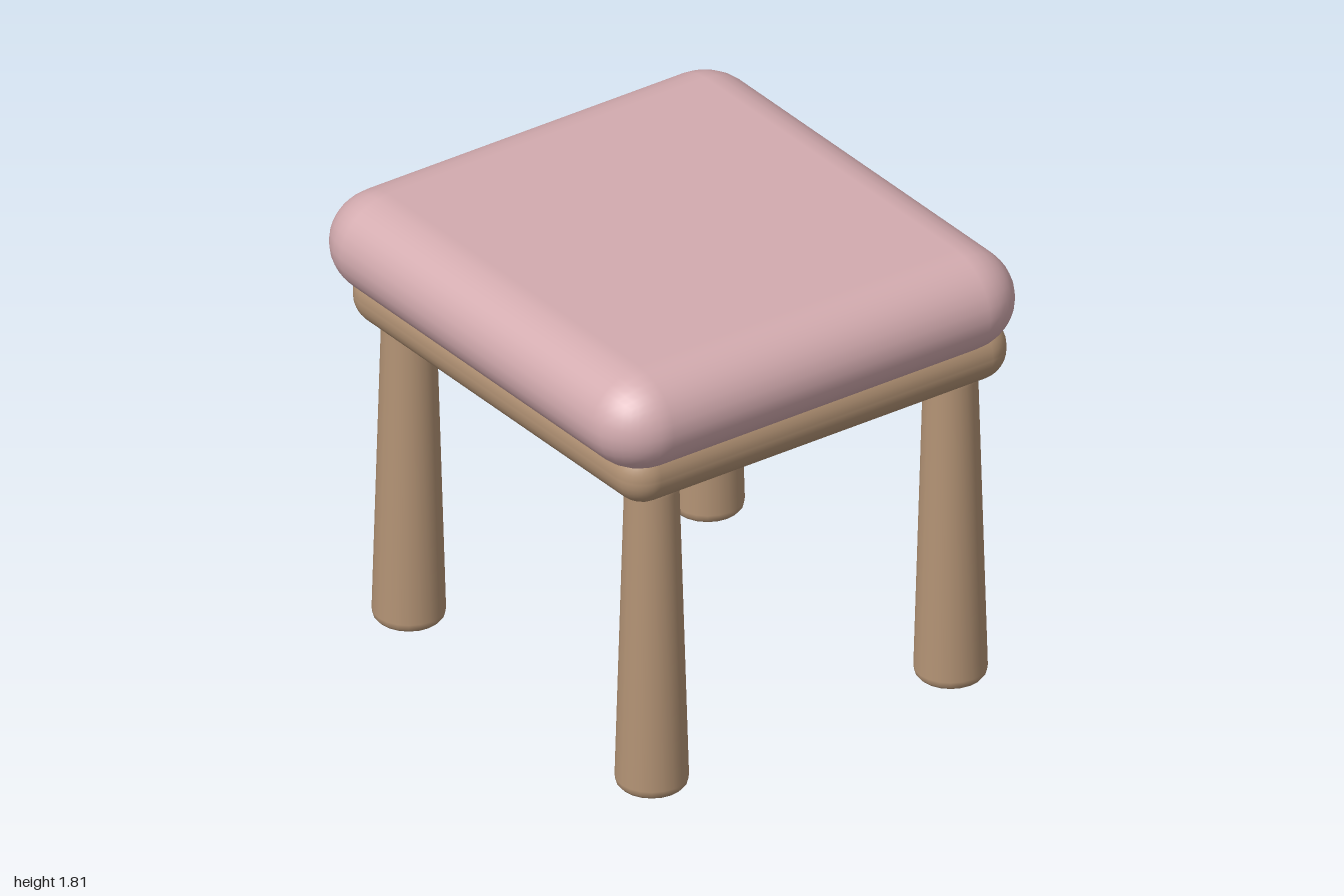
import * as THREE from 'three';
import { RoundedBoxGeometry } from 'three/addons/geometries/RoundedBoxGeometry.js';

export function createModel() {
  const stool = new THREE.Group();
  stool.name = 'stool';

  const fabric = new THREE.MeshStandardMaterial({ color: 0xd3abaf });
  fabric.name = 'dusty pink fabric';
  const wood = new THREE.MeshStandardMaterial({ color: 0xb39375 });
  wood.name = 'light brown wood';

  const add = (name, geometry, material, x, y, z) => {
    const mesh = new THREE.Mesh(geometry, material);
    mesh.name = name;
    mesh.position.set(x, y, z);
    stool.add(mesh);
    return mesh;
  };

  // Padded cushion, fully rounded at the rim and slightly flattened
  const cushionGeometry = new RoundedBoxGeometry(2, 0.44, 1.88, 4, 0.22);
  cushionGeometry.scale(1, 0.4 / 0.44, 1);
  add('cushion', cushionGeometry, fabric, 0, 1.61, 0);

  // Rounded wooden frame, set a little towards the back
  const frameZ = -0.035;
  add('frame', new RoundedBoxGeometry(1.84, 0.25, 1.75, 4, 0.12), wood, 0, 1.385, frameZ);

  // Tapered legs with softened feet
  const legProfile = [
    [0, 0], [0.1, 0], [0.122, 0.006], [0.134, 0.02], [0.137, 0.04],
    [0.102, 1.26], [0.1, 1.36], [0, 1.36],
  ].map(([r, y]) => new THREE.Vector2(r, y));
  const legGeometry = new THREE.LatheGeometry(legProfile, 20);
  for (const [side, x] of [['left', 0.757], ['right', -0.757]]) {
    for (const [end, z] of [['Front', 0.68], ['Back', -0.68]]) {
      add(`${side}${end}Leg`, legGeometry, wood, x, 0, z + frameZ);
    }
  }

  return stool;
}
